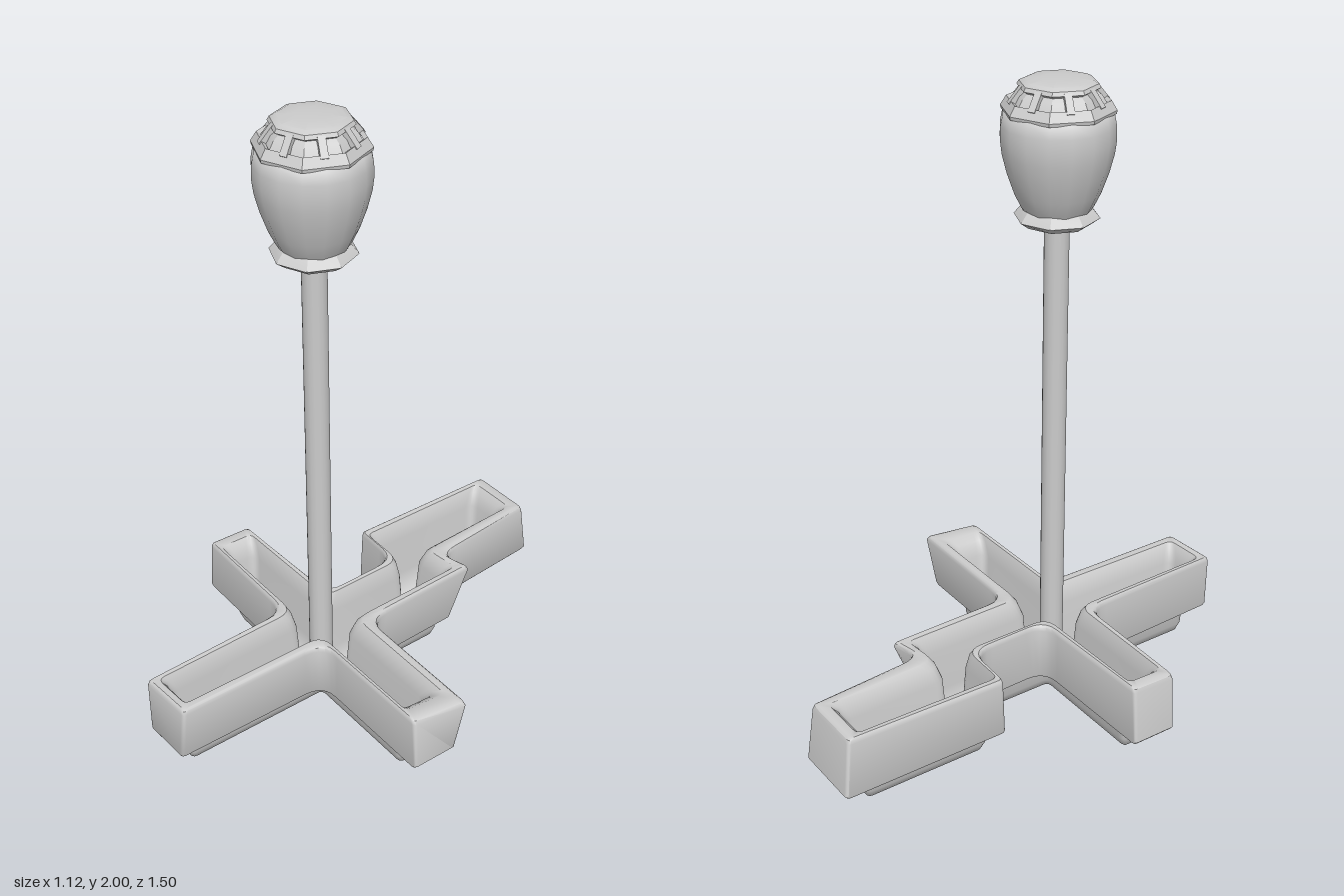
import * as THREE from 'three';
import { toCreasedNormals } from 'three/addons/utils/BufferGeometryUtils.js';

const material = new THREE.MeshStandardMaterial({ color: 0xcccccc });
const CX = -0.012, CZ = 0.162; // axis of the handle

// Corners of the tray in x,z, counterclockwise seen from above, from the left-hand arm.
const rimTop = [[-.54, .08], [-.545, .225], [-.115, .235], [-.098, .748], [.088, .736], [.09, .228], [.532, .226], [.56, .048],
  [.09, .045], [.077, -.376], [-.025, -.345], [-.058, -.732], [-.272, -.732], [-.284, -.208], [-.11, -.2], [-.1, .068]];
const skirt = [[-.558, .075], [-.558, .225], [-.115, .235], [-.092, .75], [.075, .745], [.08, .224], [.538, .224], [.54, .07],
  [.08, .065], [.068, -.31], [-.025, -.315], [-.056, -.755], [-.288, -.755], [-.288, -.204], [-.11, -.2], [-.1, .07]];
const channel = [[-.464, .105], [-.464, .2], [-.072, .2], [-.066, .69], [.032, .69], [.035, .2], [.432, .2], [.432, .1],
  [.035, .1], [.032, -.3], [-.108, -.3], [-.112, -.66], [-.236, -.66], [-.236, -.22], [-.072, -.22], [-.072, .105]];
const spine = [[-.42, .152], [-.42, .152], [-.018, .152], [-.018, .645], [-.018, .645], [-.018, .152], [.39, .152], [.39, .152],
  [-.018, .152], [-.018, -.26], [-.174, -.26], [-.174, -.615], [-.174, -.615], [-.174, -.26], [-.018, -.26], [-.018, .152]];
const concave = [2, 5, 8, 10, 14, 15];
const STEPS = 5;

// Rounds every corner with the same number of points so outlines can be lofted.
function roundOutline(corners, convexR, concaveR) {
  const n = corners.length, out = [];
  const pts = corners.map(([x, z]) => new THREE.Vector2(x, z));
  pts.forEach((p, i) => {
    const r = concave.includes(i) ? concaveR : convexR;
    const toward = (q) => {
      const d = q.clone().sub(p), len = d.length();
      return len < 1e-6 ? p.clone() : p.clone().addScaledVector(d, Math.min(r, len * 0.45) / len);
    };
    const curve = new THREE.QuadraticBezierCurve(toward(pts[(i + n - 1) % n]), p, toward(pts[(i + 1) % n]));
    out.push(...curve.getPoints(STEPS));
  });
  return out;
}

// Computes creased normals at a larger scale to keep small details distinct.
function crease(geometry, angle) {
  geometry.scale(100, 100, 100);
  const result = toCreasedNormals(geometry, angle);
  result.scale(0.01, 0.01, 0.01);
  return result;
}

function loft(rings) {
  const n = rings[0].length, positions = [], index = [];
  rings.forEach((ring) => ring.forEach((p) => positions.push(p.x, p.y, p.z)));
  for (let r = 0; r < rings.length - 1; r++) {
    for (let i = 0; i < n; i++) {
      const a = r * n + i, b = r * n + (i + 1) % n;
      index.push(a, b, a + n, b, b + n, a + n);
    }
  }
  const geometry = new THREE.BufferGeometry();
  geometry.setAttribute('position', new THREE.Float32BufferAttribute(positions, 3));
  geometry.setIndex(index);
  return geometry;
}

function addMesh(parent, name, geometry) {
  const mesh = new THREE.Mesh(geometry, material);
  mesh.name = name;
  parent.add(mesh);
  return mesh;
}

// Turned part from [radius, height] pairs.
function turned(parent, name, profile, sides, angle) {
  const points = profile.map(([r, y]) => new THREE.Vector2(r, y));
  return addMesh(parent, name, crease(new THREE.LatheGeometry(points, sides), angle));
}

function createTray() {
  const top = roundOutline(rimTop, 0.012, 0.07);
  const low = roundOutline(skirt, 0.012, 0.07);
  const mid = roundOutline(channel, 0.03, 0.035);
  const core = roundOutline(spine, 0, 0);
  const ring = (a, b, t, y) => a.map((p, i) => {
    const q = p.clone().lerp(b[i], t);
    return new THREE.Vector3(q.x, y, q.y);
  });
  return crease(loft([
    // rounded keel below
    ring(mid, core, 1, 0.005), ring(mid, core, 0.75, 0.007), ring(mid, core, 0.45, 0.02),
    ring(mid, core, 0.2, 0.05), ring(mid, core, 0.1, 0.115),
    // shoulder, outer wall and rim
    ring(low, mid, 0.06, 0.115), ring(low, mid, 0, 0.122), ring(top, mid, 0, 0.288),
    ring(top, mid, 0.06, 0.3), ring(top, mid, 0.18, 0.305), ring(top, mid, 0.55, 0.303), ring(top, mid, 0.78, 0.285),
    // channel inside
    ring(mid, core, 0, 0.24), ring(mid, core, 0.14, 0.1), ring(mid, core, 0.3, 0.055),
    ring(mid, core, 0.6, 0.035), ring(mid, core, 1, 0.03),
  ]), 0.7);
}

function createKnob() {
  const knob = new THREE.Group();
  knob.name = 'knob';
  // flared eight-sided collar and round body
  turned(knob, 'collar', [[0, 1.572], [.07, 1.572], [.098, 1.58], [.125, 1.6], [.102, 1.628], [.09, 1.635]], 8, 0.6);
  turned(knob, 'knobBody', [[.085, 1.6], [.106, 1.635], [.125, 1.675], [.146, 1.735], [.16, 1.79], [.165, 1.83],
    [.164, 1.87], [.157, 1.905], [.14, 1.915]], 16, 0.9);
  // eight-sided crown: rim, recessed core and cap
  turned(knob, 'crownRim', [[.13, 1.903], [.162, 1.905], [.164, 1.915], [.147, 1.942], [.136, 1.935]], 8, 0.4);
  turned(knob, 'crownCore', [[.14, 1.925], [.122, 1.955], [.09, 1.98]], 8, 0.4);
  turned(knob, 'crownCap', [[.1, 1.965], [.118, 1.976], [.112, 1.987], [.095, 1.995], [.05, 1.999], [0, 2]], 8, 0.4);
  // ribs between the recesses
  for (let i = 0; i < 8; i++) {
    const pivot = new THREE.Group();
    pivot.name = 'crownRib';
    pivot.rotation.y = Math.PI / 8 + i * Math.PI / 4;
    const rib = addMesh(pivot, 'rib', new THREE.BoxGeometry(0.022, 0.02, 0.06));
    rib.position.set(0, 1.953, 0.117);
    rib.rotation.x = 0.9;
    knob.add(pivot);
  }
  return knob;
}

export function createModel() {
  const model = new THREE.Group();
  model.name = 'handledTray';
  addMesh(model, 'tray', createTray());

  const handle = new THREE.Group();
  handle.name = 'handle';
  handle.position.set(CX, 0, CZ);
  const rod = addMesh(handle, 'rod', new THREE.CylinderGeometry(0.037, 0.037, 1.57, 16));
  rod.position.y = 0.815;
  handle.add(createKnob());
  model.add(handle);
  return model;
}
